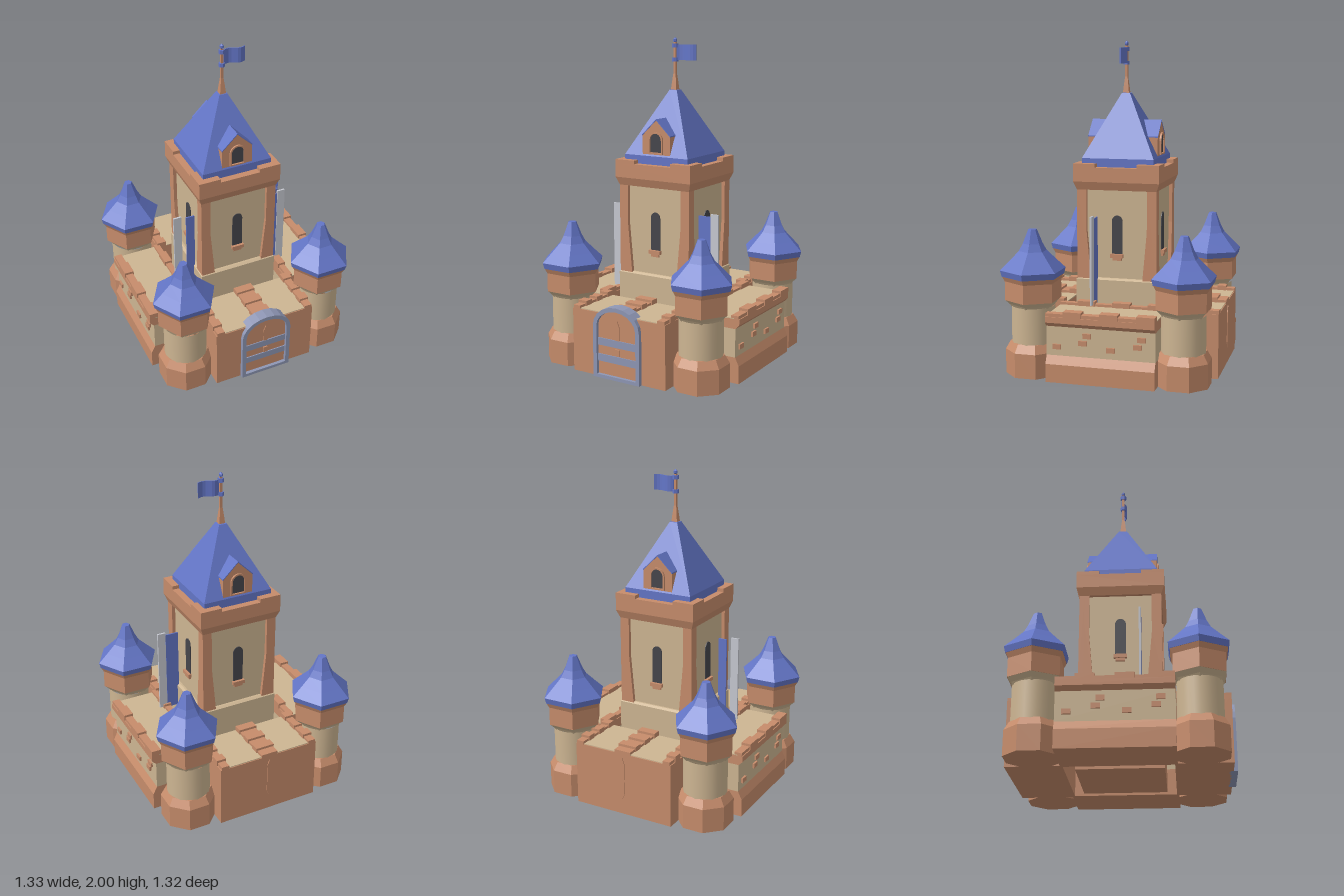
import * as THREE from 'three';

const paint = (name, color) => {
  const m = new THREE.MeshStandardMaterial({ color });
  m.name = name;
  return m;
};

export function createModel() {
  const brick = paint('terracotta brick', 0xc68c6b);
  const sand = paint('sand plaster', 0xcdb592);
  const blue = paint('blue roof', 0x6375c6);
  const iron = paint('blue grey iron', 0x8e96b4);
  const dark = paint('dark window', 0x45454b);
  const pale = paint('pale trim', 0xc6c8d0);

  const root = new THREE.Group();
  root.name = 'castle';

  const group = (name, parent, x = 0, y = 0, z = 0, ry = 0) => {
    const g = new THREE.Group();
    g.name = name;
    g.position.set(x, y, z);
    g.rotation.y = ry;
    parent.add(g);
    return g;
  };
  const add = (name, parent, geo, mat) => {
    const m = new THREE.Mesh(geo, mat);
    m.name = name;
    parent.add(m);
    return m;
  };
  // Box given by its limits on each axis
  const box = (name, parent, mat, x0, x1, y0, y1, z0, z1) => {
    const m = add(name, parent, new THREE.BoxGeometry(x1 - x0, y1 - y0, z1 - z0), mat);
    m.position.set((x0 + x1) / 2, (y0 + y1) / 2, (z0 + z1) / 2);
    return m;
  };
  // Faceted turned solid; points are [radius, y] from bottom to top
  const turned = (name, parent, mat, pts, sides, start, flat = true) => {
    let g = new THREE.LatheGeometry(pts.map(p => new THREE.Vector2(...p)), sides, start);
    if (flat) {
      g = g.toNonIndexed();
      g.computeVertexNormals();
    }
    return add(name, parent, g, mat);
  };
  // Four-sided solid; points are [half width, y]
  const square = (name, parent, mat, pts) =>
    turned(name, parent, mat, pts.map(([h, y]) => [h * Math.SQRT2, y]), 4, Math.PI / 4);
  const poly = pts => new THREE.Shape(pts.map(p => new THREE.Vector2(...p)));
  const plate = (name, parent, mat, shape, z, depth) => {
    const m = add(name, parent, new THREE.ExtrudeGeometry(shape, { depth, bevelEnabled: false, curveSegments: 8 }), mat);
    m.position.z = z;
    return m;
  };
  // Arched outline: half width w, from y0 to spring line y1, crown height rise
  const archPoints = (w, y0, y1, rise) => {
    const pts = [[-w, y0], [w, y0]];
    for (let i = 0; i <= 10; i++) {
      const a = i * Math.PI / 10;
      pts.push([w * Math.cos(a), y1 + rise * Math.sin(a)]);
    }
    return pts;
  };
  const arch = (...a) => poly(archPoints(...a));
  const archFrame = (w, y0, y1, rise, t) => {
    const s = arch(w, y0, y1, rise);
    s.holes.push(arch(w - t, y0 + t * 0.8, y1, rise - t));
    return s;
  };
  // Row of uneven parapet stones running along z
  const parapet = (parent, x, w, z0, z1) => {
    const n = 6, step = (z1 - z0) / n;
    for (let i = 0; i < n; i++) {
      const tall = i % 2 === 0, h = w / 2 + (tall ? 0 : -0.006);
      box('parapetStone', parent, brick, x - h, x + h, 0.39, tall ? 0.43 : 0.415, z0 + i * step, z0 + (i + 1) * step);
    }
  };

  // Front and back wall blocks
  for (const [name, z, ry] of [['frontWall', 0.465, 0], ['backWall', -0.495, Math.PI]]) {
    const w = group(name, root, 0, 0, z, ry);
    box('wallBody', w, brick, -0.33, 0.33, 0, 0.395, -0.165, 0.165);
    box('walkway', w, sand, -0.29, 0.29, 0.392, 0.4, -0.165, 0.16);
    for (const x of [-0.3, 0, 0.3]) parapet(w, x, x ? 0.06 : 0.12, -0.165, 0.165);
    plate('arrowSlit', w, brick, poly([[0, 0.1], [0.014, 0.14], [0.014, 0.33], [0, 0.37], [-0.014, 0.33], [-0.014, 0.14]]), 0.165, 0.005);
  }

  // Side walls: plinth, recessed plaster, sloped cornice, scattered stones
  for (const s of [1, -1]) {
    const w = group(s > 0 ? 'leftWall' : 'rightWall', root, s * 0.475, 0, -0.015, s > 0 ? 0 : Math.PI);
    const section = (name, mat, pts) => {
      const g = new THREE.ExtrudeGeometry(poly(pts), { depth: 0.66, bevelEnabled: false });
      add(name, w, g, mat).position.z = -0.33;
    };
    section('plinth', brick, [[-0.165, 0], [0.165, 0], [0.165, 0.11], [0.14, 0.16], [-0.165, 0.16]]);
    section('plaster', sand, [[-0.165, 0.16], [0.14, 0.16], [0.14, 0.335], [-0.165, 0.335]]);
    section('cornice', brick, [[-0.165, 0.335], [0.14, 0.335], [0.165, 0.36], [0.165, 0.395], [-0.165, 0.395]]);
    box('walkway', w, sand, -0.13, 0.13, 0.392, 0.4, -0.33, 0.33);
    parapet(w, -0.14, 0.05, -0.33, 0.33);
    parapet(w, 0.135, 0.06, -0.33, 0.33);
    for (const [z, y] of [[0.25, 0.215], [0.09, 0.245], [0.065, 0.29], [-0.08, 0.215], [-0.24, 0.245], [-0.265, 0.29]])
      box('wallStone', w, brick, 0.13, 0.152, y - 0.015, y + 0.015, z - 0.01, z + 0.04);
  }

  // Corner turrets
  for (const x of [-0.463, 0.463]) for (const z of [0.45, -0.478]) {
    const t = group('cornerTurret', root, x, 0, z);
    turned('turretBase', t, brick, [[0, 0], [0.17, 0], [0.17, 0.15], [0.14, 0.2], [0, 0.2]], 8, Math.PI / 8);
    turned('turretShaft', t, sand, [[0.132, 0.19], [0.132, 0.42]], 24, 0, false);
    turned('turretNeck', t, sand, [[0.13, 0.41], [0.145, 0.43], [0.17, 0.455]], 6, Math.PI / 2);
    turned('turretCrown', t, brick, [[0, 0.455], [0.172, 0.455], [0.172, 0.57], [0.188, 0.6], [0, 0.605]], 6, Math.PI / 2);
    turned('turretRoof', t, blue, [[0, 0.598], [0.19, 0.6], [0.2, 0.637], [0.14, 0.695], [0.085, 0.75], [0.06, 0.795], [0.026, 0.88], [0, 0.88]], 6, Math.PI / 2);
  }

  // Gate with iron frame and bands
  const gate = group('gate', root);
  plate('gateDoor', gate, brick, arch(0.15, 0.01, 0.32, 0.11), 0.59, 0.045);
  plate('gateFrame', gate, iron, archFrame(0.165, 0, 0.32, 0.13, 0.026), 0.58, 0.075);
  for (const [y0, y1] of [[0.1, 0.145], [0.2, 0.245]]) box('gateBand', gate, iron, -0.14, 0.14, y0, y1, 0.63, 0.641);
  plate('gateSlit', gate, brick, poly([[0, 0.22], [0.014, 0.25], [0.014, 0.33], [0, 0.365], [-0.014, 0.33], [-0.014, 0.25]]), 0.635, 0.005);
  box('gateBolt', gate, brick, -0.014, 0.014, 0.15, 0.19, 0.635, 0.643);

  // Central keep
  const keep = group('keep', root, 0, 0, -0.012);
  square('keepFoot', keep, brick, [[0, 0], [0.255, 0], [0.255, 0.16], [0, 0.16]]);
  square('keepBase', keep, sand, [[0.255, 0.16], [0.255, 0.545], [0.24, 0.555], [0, 0.555]]);
  square('keepCore', keep, sand, [[0.228, 0.55], [0.228, 1.11]]);
  square('keepCornice', keep, brick, [[0, 1.1], [0.25, 1.1], [0.269, 1.15], [0.269, 1.238], [0, 1.238]]);
  for (let i = 0; i < 4; i++) {
    const f = group('keepSide', keep, 0, 0, 0, i * Math.PI / 2);
    // Corner pilasters that widen towards the foot
    for (const s of [1, -1]) {
      const pts = [[0.25, 0.55], [0.25, 1.105], [0.19, 1.105], [0.19, 0.85], [0.163, 0.55]].map(([x, y]) => [s * x, y]);
      plate('pilaster', f, brick, poly(pts), 0.22, 0.03);
      box('cornerMerlon', f, brick, Math.min(s * 0.13, s * 0.269), Math.max(s * 0.13, s * 0.269), 1.236, 1.26, 0.222, 0.269);
    }
    plate('window', f, dark, arch(0.033, 0.7, 0.91, 0.035), 0.227, 0.006);
    box('windowSill', f, brick, -0.04, 0.04, 0.685, 0.708, 0.225, 0.25);
    box('sillBracket', f, brick, -0.028, 0.028, 0.667, 0.686, 0.225, 0.242);
  }
  square('keepRoof', keep, blue, [[0, 1.235], [0.225, 1.236], [0.225, 1.29], [0.026, 1.68], [0, 1.685]]);

  // Dormers on the front and back of the roof
  for (const ry of [0, Math.PI]) {
    const d = group('dormer', keep, 0, 0, 0, ry);
    plate('dormerBody', d, brick, poly([[-0.098, 1.29], [0.098, 1.29], [0.098, 1.415], [0, 1.51], [-0.098, 1.415]]), 0.08, 0.14);
    for (const s of [1, -1])
      plate('dormerRoof', d, blue, poly([[0, 1.51], [s * 0.1, 1.413], [s * 0.1, 1.42], [0, 1.517]]), 0.07, 0.152);
    plate('dormerWindow', d, dark, arch(0.04, 1.315, 1.39, 0.04), 0.219, 0.004);
    plate('dormerWindowFrame', d, brick, archFrame(0.05, 1.305, 1.39, 0.05, 0.01), 0.219, 0.012);
  }

  // Spire, rings and waving flag
  const spire = group('spire', root, 0, 0, -0.01);
  square('spirePole', spire, brick, [[0.02, 1.675], [0.014, 1.73], [0.008, 1.78], [0.008, 1.97]]);
  for (const y of [1.865, 1.95]) turned('flagRing', spire, blue, [[0, y - 0.012], [0.019, y - 0.012], [0.019, y + 0.012], [0, y + 0.012]], 6, 0);
  turned('spireTip', spire, blue, [[0, 1.965], [0.012, 1.975], [0.012, 1.988], [0, 2]], 6, 0);
  const top = [], bottom = [];
  for (let i = 0; i <= 8; i++) {
    const x = 0.012 + i * 0.0172, z = 0.012 * Math.sin(i * 0.8);
    top.push([x, z + 0.003]);
    bottom.unshift([x, z - 0.003]);
  }
  const flag = plate('flag', spire, blue, poly([...top, ...bottom]), 0, 0.095);
  flag.rotation.x = -Math.PI / 2;
  flag.position.y = 1.862;

  // Upright banners beside the keep
  for (const s of [1, -1]) {
    const b = group(s > 0 ? 'leftBanner' : 'rightBanner', root, s * 0.315, 0, 0.112);
    const o = s * 0.0425;
    box('bannerCloth', b, blue, -0.0275 - o, 0.0605 - 0.033 - o + (s > 0 ? 0.03 : 0), 0.4, 0.935, -0.004, 0.004);
    box('bannerEdge', b, pale, s * 0.0425 - 0.026, s * 0.0425 + 0.026, 0.41, 0.952, -0.006, 0.006);
  }
  return root;
}
